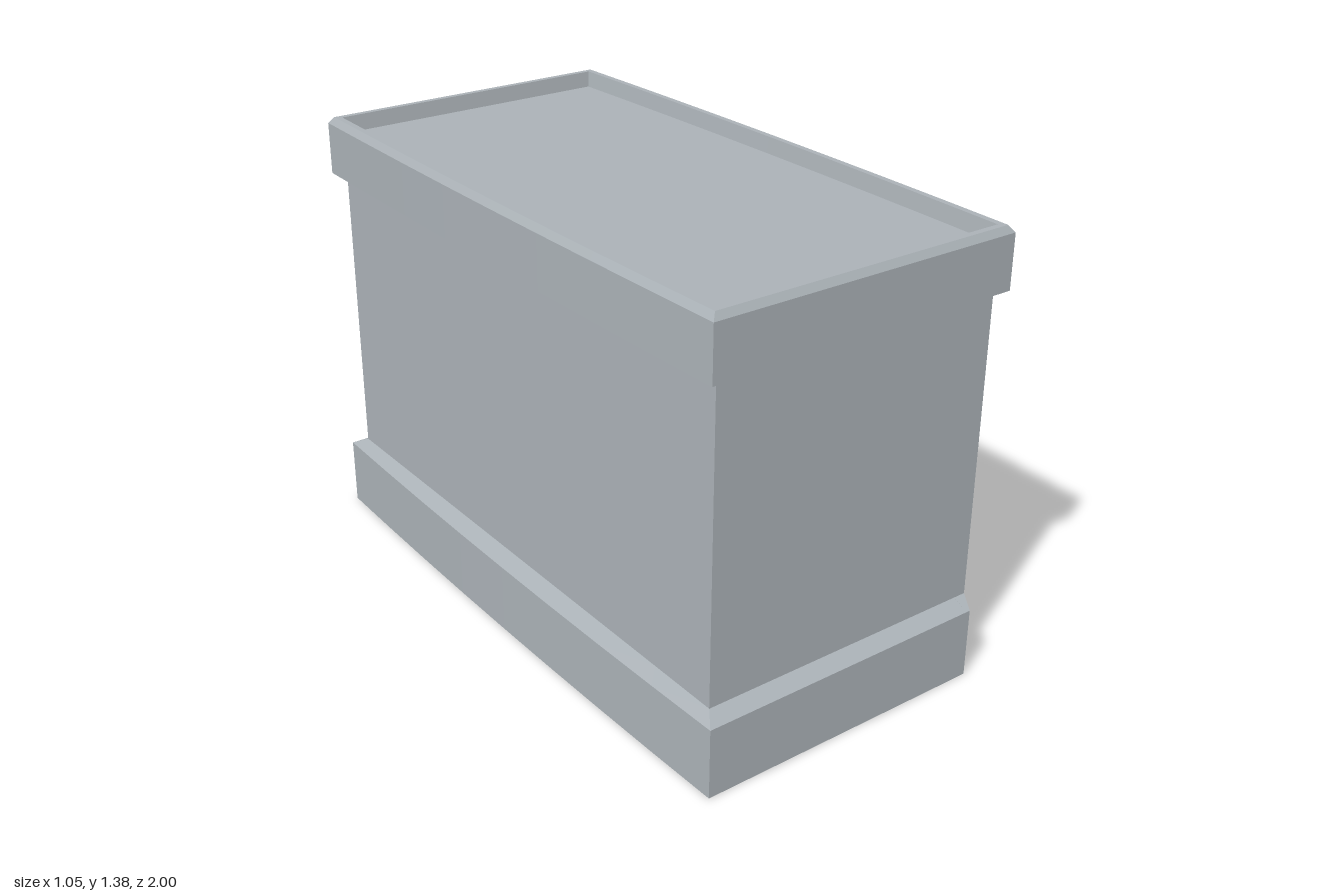
import * as THREE from 'three';

export function createModel() {
  const model = new THREE.Group();
  const grey = new THREE.MeshStandardMaterial({ color: 0xaab1b6 });
  grey.name = 'concreteGrey';
  const orange = new THREE.MeshStandardMaterial({ color: 0xd07510 });
  orange.name = 'shutterOrange';

  const add = (name, geometry, material = grey) => {
    const mesh = new THREE.Mesh(geometry, material);
    mesh.name = name;
    model.add(mesh);
    return mesh;
  };

  // Flat-faced skin over counter-clockwise rings of [x, y, z], with optional end caps
  const loft = (rings, capStart = true, capEnd = true) => {
    const pos = [];
    const tri = (a, b, c) => pos.push(...a, ...b, ...c);
    const n = rings[0].length;
    for (let r = 0; r < rings.length - 1; r++) {
      const a = rings[r], b = rings[r + 1];
      for (let i = 0; i < n; i++) {
        const j = (i + 1) % n;
        tri(a[i], a[j], b[j]);
        tri(a[i], b[j], b[i]);
      }
    }
    const first = rings[0], last = rings[rings.length - 1];
    for (let i = 1; i < n - 1; i++) {
      if (capStart) tri(first[0], first[i + 1], first[i]);
      if (capEnd) tri(last[0], last[i], last[i + 1]);
    }
    const g = new THREE.BufferGeometry();
    g.setAttribute('position', new THREE.Float32BufferAttribute(pos, 3));
    g.computeVertexNormals();
    return g;
  };

  // Horizontal ring whose long sides may bow outward
  const planRing = (y, left, right, z0, z1, bowLeft = 0, bowRight = 0) => {
    const steps = 8, ring = [];
    for (let i = 0; i <= steps; i++) {
      const t = (i / steps) * 2 - 1;
      ring.push([right + bowRight * (1 - t * t), y, z1 + (z0 - z1) * (i / steps)]);
    }
    for (let i = 0; i <= steps; i++) {
      const t = (i / steps) * 2 - 1;
      ring.push([left - bowLeft * (1 - t * t), y, z0 + (z1 - z0) * (i / steps)]);
    }
    return ring;
  };

  // Upright rectangle facing +x; rect = [z0, z1, y0, y1]
  const sideRing = (x, [z0, z1, y0, y1], inset = 0) => {
    const a = z0 + inset, b = z1 - inset, c = y0 + inset, d = y1 - inset;
    return [[x, d, a], [x, d, b], [x, c, b], [x, c, a]];
  };

  // Upright plate facing +x with rectangular holes
  const sidePlate = (x0, x1, [z0, z1, y0, y1], holes) => {
    const path = (P, a, b, c, d) => {
      const p = new P();
      p.moveTo(-b, c);
      p.lineTo(-a, c);
      p.lineTo(-a, d);
      p.lineTo(-b, d);
      p.closePath();
      return p;
    };
    const shape = path(THREE.Shape, z0, z1, y0, y1);
    holes.forEach((h) => shape.holes.push(path(THREE.Path, ...h)));
    return new THREE.ExtrudeGeometry(shape, { depth: x1 - x0, bevelEnabled: false })
      .rotateY(Math.PI / 2).translate(x0, 0, 0);
  };

  // Thin coloured plate whose outer face lies at x
  const panel = (name, x, [z0, z1, y0, y1], material) => {
    const t = 0.004;
    add(name, new THREE.BoxGeometry(t, y1 - y0, z1 - z0)
      .translate(x - t / 2, (y0 + y1) / 2, (z0 + z1) / 2), material);
  };

  // Building mass with a flared plinth
  add('walls', loft([
    planRing(0, -0.51, 0.43, -1, 1, 0.015),
    planRing(0.22, -0.51, 0.43, -1, 1, 0.015),
    planRing(0.245, -0.475, 0.43, -0.95, 0.95),
    planRing(1.2, -0.475, 0.43, -0.95, 0.95),
  ]));

  // Plinth corners, chamfered toward the shutter wall
  for (const s of [1, -1]) {
    const ring = (y, depth, nose) => {
      const pts = [[0.43, y, s * 0.94], [0.43, y, s * depth], [nose, y, s * depth], [0.47, y, s * 0.95], [0.47, y, s * 0.94]];
      return s > 0 ? pts : pts.reverse();
    };
    add('plinthCorner', loft([ring(0, 1, 0.445), ring(0.22, 1, 0.445), ring(0.245, 0.951, 0.469)]));
  }

  // Wall with the large opening and its splayed reveal
  const opening = [-0.905, 0.28, 0.05, 1.155];
  add('shutterWall', sidePlate(0.425, 0.47, [-0.95, 0.95, 0, 1.2], [opening]));
  add('openingReveal', loft([sideRing(0.47, opening), sideRing(0.445, opening, 0.035)], false, false));

  // Frame with bevelled transom and shutter panels
  const transom = [-0.86, 0.23, 0.975, 1.105];
  const door = [-0.855, 0.225, 0.105, 0.945];
  add('shutterFrame', sidePlate(0.431, 0.445, [-0.87, 0.245, 0.085, 1.12], [transom, door]));
  add('transomBevel', loft([sideRing(0.445, transom), sideRing(0.434, transom, 0.01)], false, false));
  add('shutterBevel', loft([sideRing(0.445, door), sideRing(0.434, door, 0.015)], false, false));
  panel('transomPanel', 0.435, [-0.85, 0.22, 0.985, 1.095], orange);
  panel('shutterPanel', 0.435, [-0.84, 0.21, 0.12, 0.93], orange);

  // Sign box beside the shutter
  const sign = [0.345, 0.925, 0.745, 0.93];
  add('signBox', loft([sideRing(0.465, sign), sideRing(0.488, sign), sideRing(0.502, sign, 0.012)]));
  panel('signFace', 0.504, [0.357, 0.913, 0.757, 0.918], orange);

  // Small entrance door standing proud of the wall
  add('doorFrame', sidePlate(0.486, 0.523, [0.487, 0.797, 0.015, 0.525], [[0.535, 0.752, 0.017, 0.495]]));
  add('doorLeaf', new THREE.BoxGeometry(0.022, 0.478, 0.217).translate(0.497, 0.256, 0.6435));

  // Roof parapet with bevelled rim and sunken deck
  const roof = (y, inset) =>
    planRing(y, -0.51 + inset, 0.5 - inset, -0.985 + inset, 0.98 - inset, 0.011, 0.014);
  add('roof', loft([
    roof(1.2, 0), roof(1.365, 0), roof(1.385, 0.015), roof(1.385, 0.034), roof(1.335, 0.042),
  ]));

  return model;
}
